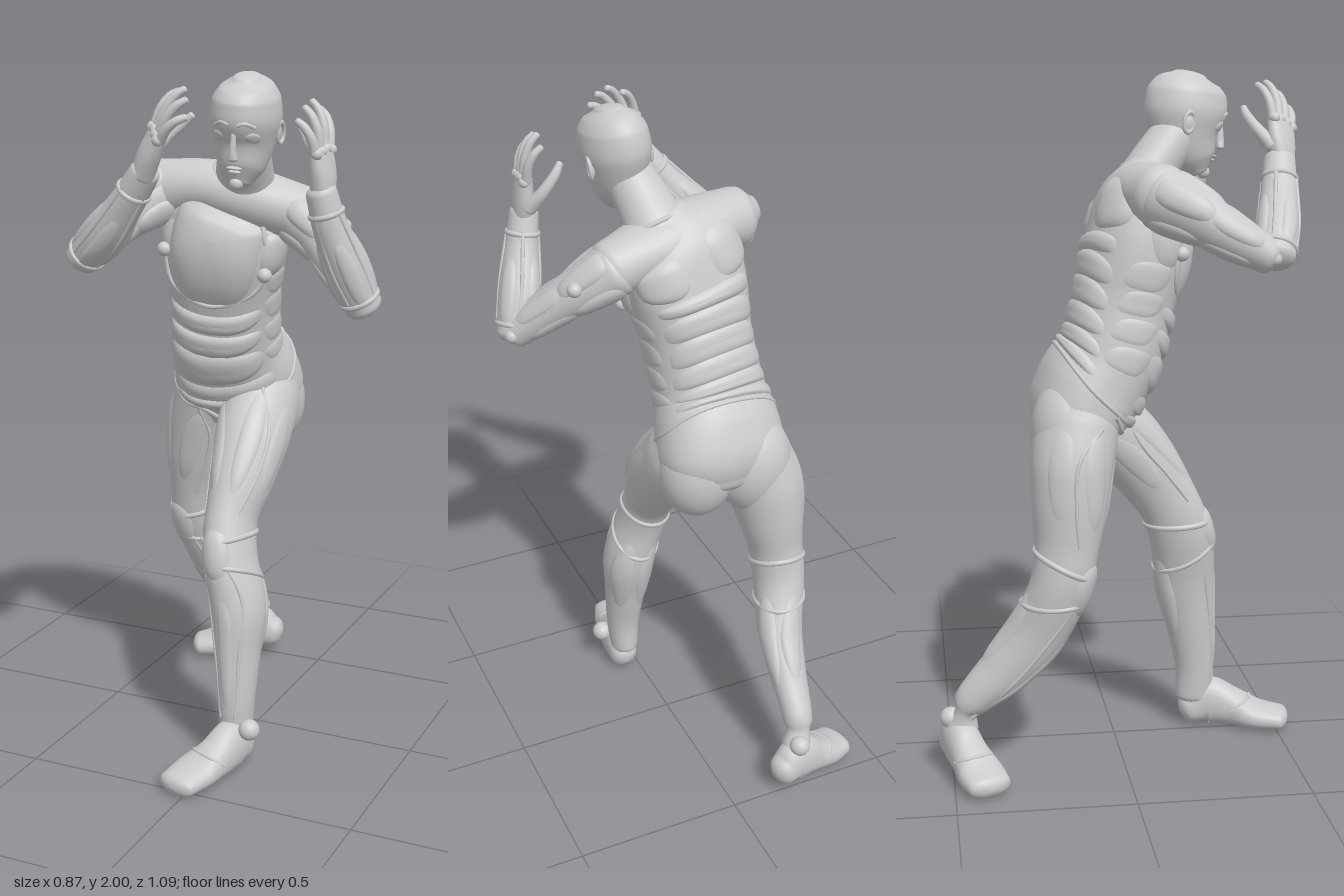
import * as THREE from 'three';

const V = (x, y, z) => new THREE.Vector3(x, y, z);
const mat = new THREE.MeshStandardMaterial({ color: 0xcccccc, roughness: 0.7, side: THREE.DoubleSide });
const spow = (v, k) => Math.sign(v) * Math.abs(v) ** k;

function add(parent, name, geo) {
  const m = new THREE.Mesh(geo, mat);
  m.name = name;
  parent.add(m);
  return m;
}

// Smooth skin over rows of closed rings; fn(i, j) gives each point
function skin(rows, cols, fn) {
  const pos = [], idx = [];
  for (let i = 0; i < rows; i++) for (let j = 0; j < cols; j++) {
    pos.push(...fn(i, j).toArray());
    if (i === rows - 1) continue;
    const k = (j + 1) % cols, a = i * cols + j, b = i * cols + k;
    idx.push(a, b, b + cols, a, b + cols, a + cols);
  }
  const g = new THREE.BufferGeometry();
  g.setAttribute('position', new THREE.Float32BufferAttribute(pos, 3));
  g.setIndex(idx);
  g.computeVertexNormals();
  return g;
}

// Loft through rows [x, y, z, halfWidth, halfDepth]; angle 0 faces front.
// Returns at(u, angle, lift) so pads and cords can be laid on the surface.
function loft(parent, name, rows, front = [0, 0, 1], { k = 1, cap = 0.6, cols = 32, floor = false } = {}) {
  const n = rows.length - 1, F0 = V(...front);
  const path = new THREE.CatmullRomCurve3(rows.map(r => V(r[0], r[1], r[2])));
  const size = new THREE.CatmullRomCurve3(rows.map(r => V(r[3], r[4], 0)));
  const at = (u, a, lift = 0, scale = 1, shift = 0) => {
    const t = Math.min(1, Math.max(0, u / n));
    const c = path.getPoint(t), s = size.getPoint(t), T = path.getTangent(t);
    const S = T.clone().cross(F0).normalize(), F = S.clone().cross(T);
    return c.addScaledVector(T, shift * Math.min(s.x, s.y))
      .addScaledVector(S, spow(Math.sin(a), k) * (s.x + lift) * scale)
      .addScaledVector(F, spow(Math.cos(a), k) * (s.y + lift) * scale);
  };
  const rings = [], C = 6, steps = n * 6;
  for (let i = 0; i < C; i++) { const q = i / C * Math.PI / 2; rings.push([0, Math.sin(q) + 0.001, -cap * Math.cos(q)]); }
  for (let i = 0; i <= steps; i++) rings.push([i / steps * n, 1, 0]);
  for (let i = C - 1; i >= 0; i--) { const q = i / C * Math.PI / 2; rings.push([n, Math.sin(q) + 0.001, cap * Math.cos(q)]); }
  add(parent, name, skin(rings.length, cols, (i, j) => {
    const p = at(rings[i][0], j / cols * Math.PI * 2, 0, rings[i][1], rings[i][2]);
    if (floor) p.y = Math.max(0.004, p.y);
    return p;
  }));
  return at;
}

// Raised pillow pad lying on a lofted surface
function pad(parent, name, at, u, a, du, da, h, { k = 0.75, bend = 0, skew = 0 } = {}) {
  const R = 8, N = 36;
  add(parent, name, skin(R + 1, N, (i, j) => {
    const r = 1 - (1 - i / R) ** 1.5, q = j / N * Math.PI * 2;
    const x = da * r * spow(Math.sin(q), k), y = du * r * spow(Math.cos(q), k);
    return at(u + y + bend * x * x, a + x + skew * y, h * (1 - r ** 4) - 0.005);
  }));
}

// Raised cord through [u, angle] points on a surface
function cord(parent, name, at, pts, r = 0.008, closed = false) {
  const c = new THREE.CatmullRomCurve3(pts.map(p => at(p[0], p[1], -0.002)), closed);
  add(parent, name, new THREE.TubeGeometry(c, 40, r, 8, closed));
}
const band = (parent, name, at, u, r, tilt = 0) =>
  cord(parent, name, at, Array.from({ length: 14 }, (_, i) => [u + tilt * Math.cos(i / 14 * Math.PI * 2), i / 14 * Math.PI * 2]), r, true);

function ball(parent, name, p, r, s = [1, 1, 1]) {
  const m = add(parent, name, new THREE.SphereGeometry(r, 28, 20));
  m.position.set(...p);
  m.scale.set(...s);
  return m;
}

function buildTorso(g) {
  const t = loft(g, 'torso', [
    [-.115, .98, -.145, .155, .105], [-.115, 1.05, -.125, .195, .137], [-.115, 1.12, -.085, .186, .148],
    [-.115, 1.2, -.032, .165, .14], [-.1, 1.34, .01, .16, .14], [-.08, 1.5, .047, .176, .145],
    [-.05, 1.62, .055, .17, .118], [-.01, 1.7, .085, .095, .075]], [.12, 0, 1], { k: 0.88, cols: 48, cap: .45 });
  // Belly and back bands
  [[1.6, .3], [2.25, .38], [2.95, .32], [3.43, .22], [3.86, .22]].forEach(([u, du]) =>
    pad(g, 'bellyBand', t, u, 0, du, 1.1, .017, { bend: .22 }));
  [2.75, 3.25, 3.7, 4.15, 4.6, 5.1].forEach((u, i) =>
    pad(g, 'backBand', t, u, Math.PI, .28, 1.25 - i * .04, .016, { bend: -.18 }));
  pad(g, 'chestPlate', t, 5.35, 0, 1.15, .85, .022, { k: .6, bend: .12 });
  cord(g, 'chestSeam', t, [[6.5, -.95], [5.8, -.8], [5.1, -1], [4.5, -.8], [4.25, 0], [4.5, .8], [5.1, 1], [5.8, .8], [6.5, .95]], .008);
  for (const s of [-1, 1]) {
    pad(g, 'chestMuscle', t, 5.35, s * 1.2, .65, .4, .018);
    pad(g, 'shoulderBlade', t, 5.8, Math.PI - s * .75, .5, .6, .018);
    [3.1, 3.6, 4.1, 4.55].forEach(u => pad(g, 'sideRib', t, u, s * 1.5, .27, .5, .009, { skew: -s * .5 }));
    cord(g, 'pelvisSeam', t, [[1.7, s * 1.25], [1.2, s * .8], [.6, s * .4], [0, s * .15]], .009);
  }
  band(g, 'waistBand', t, 1.95, .007, -.45);
  loft(g, 'shoulderYoke', [[-.25, 1.66, .1, .085, .088], [-.13, 1.67, .075, .1, .08],
    [-.02, 1.65, .065, .105, .085], [.15, 1.605, .04, .08, .08]], [0, 1, 0]);
  // Buttocks, mostly sunk in the hips
  ball(g, 'rightButtock', [-.2, 1.0, -.155], .118, [1, 1.35, .93]);
  ball(g, 'leftButtock', [-.03, 1.01, -.14], .114, [1, 1.3, .95]);
  const n = loft(g, 'neck', [[-.015, 1.64, .06, .12, .095], [.005, 1.71, .1, .085, .075], [.04, 1.82, .185, .069, .07]]);
  band(g, 'collar', n, .75, .007);
}

function buildHead(parent) {
  const g = new THREE.Group();
  g.name = 'head';
  g.position.set(.06, 1.855, .215);
  g.rotation.set(.22, .12, -.1);
  parent.add(g);
  const h = loft(g, 'skull', [[0, -.135, .062, .034, .036], [0, -.1, .043, .062, .07], [0, -.04, .012, .082, .1],
    [0, .03, -.004, .096, .124], [0, .08, -.01, .09, .119], [0, .112, -.012, .07, .096], [0, .132, -.012, .038, .052]],
    [0, 0, 1], { cap: .3, cols: 40 });
  loft(g, 'nose', [[0, -.05, .12, .015, .012], [0, -.03, .117, .01, .012], [0, .012, .109, .007, .008]]);
  ball(g, 'upperLip', [0, -.08, .106], .02, [1.1, .25, .4]);
  ball(g, 'lowerLip', [0, -.092, .102], .018, [1, .3, .4]);
  ball(g, 'chin', [0, -.13, .085], .019);
  for (const s of [-1, 1]) {
    cord(g, 'brow', h, [[2.85, s * .12], [2.92, s * .35], [2.78, s * .62]], .006);
    pad(g, 'cheekbone', h, 2.25, s * .6, .35, .3, .009, { k: 1 });
    const ear = add(g, 'ear', new THREE.TorusGeometry(.023, .006, 10, 24));
    ear.position.set(s * .093, -.01, -.015);
    ear.scale.set(.75, 1.25, 1);
    ear.rotation.y = Math.PI / 2 - s * .3;
    ball(g, 'earLobe', [s * .088, -.012, -.015], .02, [.4, 1.2, .8]);
  }
}

// Hand: y along the fingers, z out of its back, thumb on the s side
function buildHand(parent, name, wrist, along, back, s) {
  const g = new THREE.Group();
  g.name = name;
  const Y = V(...along).normalize(), X = Y.clone().cross(V(...back)).normalize(), Z = X.clone().cross(Y);
  g.applyMatrix4(new THREE.Matrix4().makeBasis(X, Y, Z).setPosition(...wrist));
  parent.add(g);
  const small = { cols: 14 };
  loft(g, 'palm', [[0, -.02, 0, .036, .03], [s * .003, .045, 0, .05, .028], [0, .105, -.003, .053, .02]], [0, 0, 1], { k: .85 });
  [.11, .127, .118, .09].forEach((L, i) => {
    const x = s * (.041 - .027 * i), y = .108 - Math.abs(i - 1) * .005;
    loft(g, 'finger', [[x, y, 0, .0145, .0145], [x * 1.3, y + .45 * L, -.003, .013, .013],
      [x * 1.5, y + .78 * L, -.018, .0115, .0115], [x * 1.55, y + .95 * L, -.036, .0095, .0095]], [0, 0, 1], small);
    ball(g, 'knuckle', [x, y, .005], .016);
  });
  loft(g, 'thumb', [[s * .033, .025, -.01, .023, .023], [s * .058, .075, -.042, .017, .017],
    [s * .062, .125, -.075, .014, .014], [s * .058, .155, -.09, .01, .01]], [0, 0, 1], small);
}

function buildArm(parent, name, upperRows, foreRows, upperFront, balls) {
  const g = new THREE.Group();
  g.name = name;
  parent.add(g);
  const u = loft(g, 'upperArm', upperRows, upperFront);
  const f = loft(g, 'forearm', foreRows);
  for (let i = 0; i < 4; i++) {
    const a = i * Math.PI / 2 + .5;
    pad(g, 'armMuscle', u, 1.0, a, .75, .55, .01);
    pad(g, 'shoulderMuscle', u, 2.3, a, .75, .6, .014);
    pad(g, 'forearmMuscle', f, .95, a, .95, .5, .01);
    cord(g, 'forearmCord', f, [[.3, a + .8], [1.2, a + .75], [2.5, a + .7]], .006);
  }
  band(g, 'elbowBand', f, .2, .008);
  band(g, 'wristCuff', f, 2.4, .008);
  balls.forEach(p => ball(g, 'jointKnob', p, .021));
}

function buildLeg(parent, name, rows, front, foot, ankle) {
  const g = new THREE.Group();
  g.name = name;
  parent.add(g);
  const l = loft(g, 'leg', rows, front, { cols: 40 });
  // Muscle pads of the thigh and calf, knee guard and cords
  for (const s of [-1, 1]) {
    pad(g, 'thighMuscle', l, 6.6, s * .55, 1.3, .38, .01, { k: 1, skew: s * .12 });
    pad(g, 'outerThigh', l, 6.7, s * 1.5, 1.2, .4, .008, { k: 1 });
    pad(g, 'calfMuscle', l, 2.7, Math.PI + s * .62, 1.1, .6, .012, { k: 1 });
    cord(g, 'shinCord', l, [[.6, s * .5], [2, s * .65], [3.2, s * .8], [3.9, s * .5]], .006);
    cord(g, 'thighCord', l, [[5.1, s * .85], [6, s * 1.05], [7, s * 1.05], [7.9, s * .6]], .006);
  }
  pad(g, 'shinPlate', l, 2.1, 0, 1.4, .4, .009);
  pad(g, 'kneeGuard', l, 4.15, 0, .55, .75, .014, { k: .9 });
  band(g, 'kneeBand', l, 4.6, .009, -.25);
  band(g, 'kneeBand', l, 3.6, .008, .25);
  const f = loft(g, 'foot', foot, [0, 1, 0], { k: .88, floor: true, cap: .85 });
  cord(g, 'instepSeam', f, [[2.2, 1.5], [2.5, .7], [2.6, 0], [2.5, -.7], [2.2, -1.5]], .006);
  ball(g, 'ankleKnob', ankle, .031);
}

export function createModel() {
  const model = new THREE.Group();
  model.name = 'figure';
  buildTorso(model);
  buildHead(model);

  buildArm(model, 'leftArm',
    [[.385, 1.4, .18, .05, .052], [.31, 1.47, .13, .057, .06], [.22, 1.55, .07, .066, .07], [.14, 1.605, .04, .08, .085]],
    [[.392, 1.39, .185, .05, .056], [.36, 1.49, .22, .058, .064], [.328, 1.61, .268, .047, .052], [.31, 1.7, .288, .041, .045]],
    [0, 0, 1], [[.27, 1.575, .015], [.08, 1.44, .135], [.41, 1.4, .15]]);
  buildArm(model, 'rightArm',
    [[-.35, 1.505, .375, .05, .05], [-.34, 1.55, .29, .056, .06], [-.3, 1.61, .19, .068, .075], [-.24, 1.655, .1, .08, .09]],
    [[-.345, 1.505, .395, .05, .055], [-.27, 1.57, .418, .058, .06], [-.185, 1.665, .44, .047, .052], [-.12, 1.75, .455, .04, .045]],
    [0, 1, 0], [[-.352, 1.6, .195], [-.22, 1.5, .16], [-.375, 1.5, .385]]);
  buildHand(model, 'leftHand', [.313, 1.705, .285], [-.04, 1, 0], [1, .1, .1], 1);
  buildHand(model, 'rightHand', [-.115, 1.76, .465], [.4, .9, .05], [-.65, .35, .65], -1);

  buildLeg(model, 'leftLeg', [
    [.045, .1, .255, .045, .055], [.046, .2, .258, .053, .06], [.042, .35, .24, .066, .076], [.037, .48, .222, .078, .092],
    [.003, .62, .205, .073, .095], [-.01, .72, .17, .072, .092], [-.006, .82, .11, .09, .102],
    [-.008, .92, .03, .105, .115], [-.02, 1.02, -.07, .112, .12], [-.025, 1.08, -.115, .1, .11]], [-.1, 0, 1],
    [[.05, .055, .25, .045, .05], [.047, .075, .3, .05, .075], [.03, .06, .37, .055, .058], [0, .042, .44, .07, .04], [-.02, .034, .515, .062, .032]],
    [.105, .13, .3]);
  buildLeg(model, 'rightLeg', [
    [-.22, .14, -.475, .045, .05], [-.235, .22, -.45, .045, .05], [-.25, .33, -.345, .057, .075], [-.265, .44, -.255, .07, .085],
    [-.288, .58, -.192, .08, .086], [-.283, .69, -.172, .083, .092], [-.268, .8, -.162, .1, .108],
    [-.245, .92, -.152, .113, .118], [-.212, 1.02, -.135, .112, .122], [-.2, 1.08, -.125, .1, .11]], [-.5, 0, 1],
    [[-.17, .085, -.495, .045, .05], [-.22, .1, -.48, .05, .075], [-.28, .075, -.455, .055, .058], [-.345, .045, -.425, .068, .043], [-.395, .035, -.405, .064, .033]],
    [-.215, .17, -.505]);
  return model;
}
